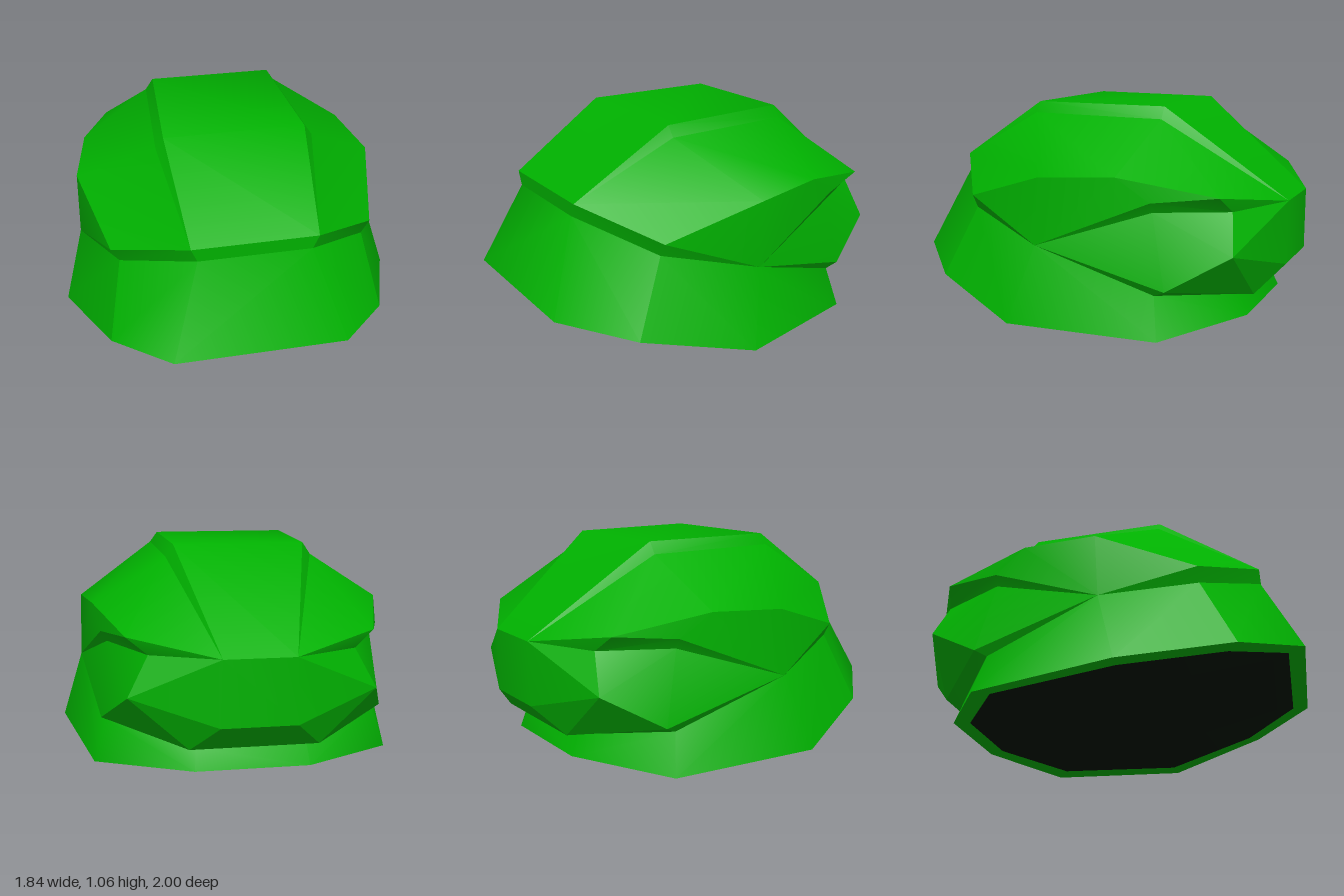
import * as THREE from 'three';
import { toCreasedNormals } from 'three/addons/utils/BufferGeometryUtils.js';

const green = new THREE.MeshStandardMaterial({ color: 0x00b000, side: THREE.DoubleSide });
green.name = 'shell green';
const dark = new THREE.MeshStandardMaterial({ color: 0x001200, side: THREE.DoubleSide });
dark.name = 'opening black';

// Corner points of the +x half
const ridge = [[0.31, 0.74, 0.81], [0.36, 1.06, 0.30], [0.33, 1.06, -0.40], [0.17, 0.61, -1]];
const step1 = [0.40, 1.005, 0.30], step2 = [0.37, 1.0, -0.40];
const brow = [0.67, 0.59, 0.53];
const temple = [0.81, 0.41, 0.07];
const crown1 = [0.80, 0.745, 0.05], crown2 = [0.74, 0.765, -0.33];
const eave1 = [0.70, 0.65, -0.49], eave2 = [0.59, 0.68, -0.79];
const tuck1 = [0.67, 0.60, -0.49], tuck2 = [0.49, 0.60, -0.82];
const rear = [0.59, 0.41, -0.86], backLow = [0.18, 0.29, -1];
const flare1 = [0.71, 0.235, -0.57], flare2 = [0.31, 0.155, -0.88];
const neck = [[0.28, 0.67, 0.81], [0.63, 0.52, 0.53], temple, [0.69, 0.205, -0.51], [0.27, 0.13, -0.79]];
const rim = [[0.43, 0.225, 1], [0.71, 0.15, 0.70], [0.92, 0.033, 0.17], [0.75, 0, -0.55], [0.28, 0.03, -0.84]];
const inner = [[0.39, 0.215, 0.92], [0.64, 0.14, 0.65], [0.82, 0.04, 0.16], [0.67, 0.015, -0.49], [0.25, 0.035, -0.76]];
const openingMiddle = [0, 0.07, 0];

const flip = ([x, y, z]) => [-x, y, z];
// A face reaching across the middle from edge a-b to its mirror
const span = (a, b) => [a, b, flip(b), flip(a)];
// Faces joining two rows of points
const loft = (a, b) => a.slice(1).map((p, i) => [a[i], p, b[i + 1], b[i]]);

// Panels: sides are mirrored, middles are used once; every triangle faces outward
function panels(name, sides, middles, crease = 0.6, material = green) {
  const faces = [...middles, ...sides, ...sides.map(f => f.map(flip))];
  const centre = new THREE.Vector3(0, 0.4, -0.05);
  const out = [];
  for (const f of faces) {
    const v = f.map(p => new THREE.Vector3(...p));
    for (let i = 1; i < v.length - 1; i++) {
      const tri = new THREE.Triangle(v[0], v[i], v[i + 1]);
      const outward = tri.getMidpoint(new THREE.Vector3()).sub(centre);
      const normal = tri.getNormal(new THREE.Vector3());
      const order = normal.dot(outward) >= 0 ? [tri.a, tri.b, tri.c] : [tri.a, tri.c, tri.b];
      order.forEach(p => out.push(p.x, p.y, p.z));
    }
  }
  const geo = new THREE.BufferGeometry();
  geo.setAttribute('position', new THREE.Float32BufferAttribute(out, 3));
  const mesh = new THREE.Mesh(toCreasedNormals(geo, crease), material);
  mesh.name = name;
  return mesh;
}

export function createModel() {
  const group = new THREE.Group();
  group.name = 'helmet';
  const [r0, r1, r2, r3] = ridge;

  // Raised centre strip with its small side steps
  group.add(panels('centreRidge', [], [span(r0, r1), span(r1, r2), span(r2, r3)], 1));
  group.add(panels('ridgeSteps', [[r0, r1, step1], [r1, r2, step2, step1], [r2, r3, step2]], []));

  // Crown either side of the strip
  group.add(panels('crown', [
    [r0, step1, crown1, brow], [step1, step2, crown2, crown1],
    [step2, eave2, crown2], [step2, r3, eave2],
  ], [], 1));

  // Walls under the crown and the eave over the side panel
  group.add(panels('crownWalls', [
    [brow, crown1, temple], [temple, crown1, crown2], [temple, crown2, eave1],
    [crown2, eave2, eave1],
  ], []));
  group.add(panels('eaves', [
    [temple, eave1, tuck1], [eave1, eave2, tuck2, tuck1], [eave2, r3, tuck2],
  ], []));

  // Recessed side panels and back plate
  group.add(panels('sidePanels', [
    [temple, tuck1, flare1], [tuck1, tuck2, rear], [tuck1, rear, flare1],
  ], []));
  group.add(panels('backPlate', [
    [r3, tuck2, rear, backLow], [rear, flare1, flare2, backLow],
  ], [span(r3, backLow), span(backLow, flare2)], 0.35));
  group.add(panels('backUnderside', [
    [temple, flare1, neck[3]], [flare1, flare2, neck[4], neck[3]],
  ], [span(flare2, neck[4])]));

  // Brow lip and flared lower band
  group.add(panels('browLip', [
    [r0, brow, neck[1], neck[0]], [brow, temple, neck[1]],
  ], [span(r0, neck[0])]));
  const [front, ...sides] = loft(neck, rim);
  group.add(panels('frontBand', [front], [span(neck[0], rim[0])], 1.1));
  group.add(panels('sideBand', sides, [span(neck[4], rim[4])], 0.8));

  // Bottom rim and dark opening
  group.add(panels('rim', loft(rim, inner), [span(rim[0], inner[0]), span(rim[4], inner[4])]));
  group.add(panels('opening',
    inner.slice(1).map((p, i) => [openingMiddle, inner[i], p]),
    [inner[0], inner[4]].map(p => [openingMiddle, p, flip(p)]), 1, dark));
  return group;
}
